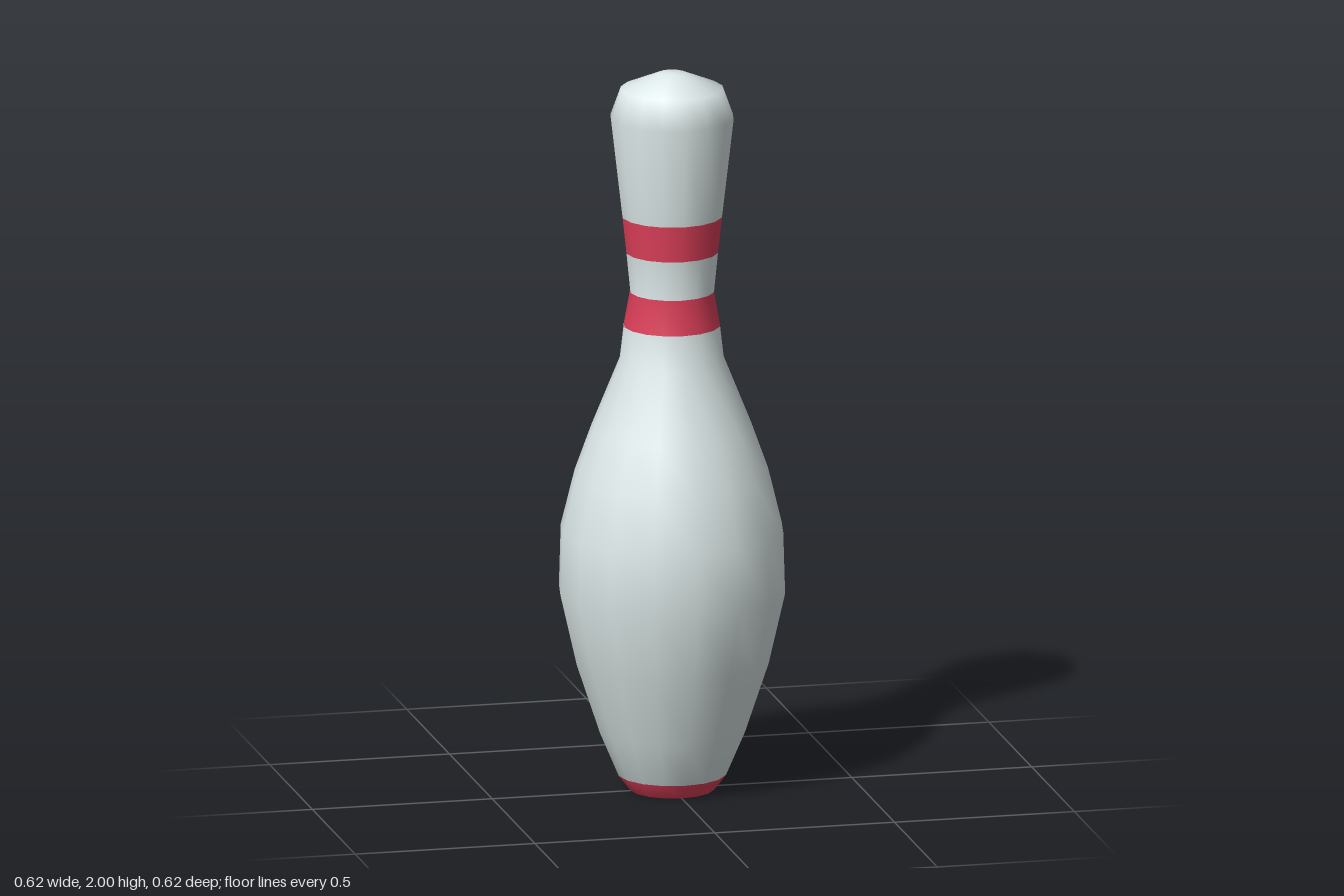
import * as THREE from 'three';

const SIDES = 16;

// Outline from base to crown: [radius, height]
const PROFILE = [
  [0.115, 0], [0.148, 0.043], [0.2, 0.165], [0.265, 0.36], [0.31, 0.556],
  [0.305, 0.726], [0.267, 0.88], [0.22, 1.01], [0.143, 1.2], [0.132, 1.295],
  [0.115, 1.39], [0.126, 1.5], [0.137, 1.6], [0.169, 1.875], [0.14, 1.955],
  [0.037, 1.998], [0, 2],
];

export function createModel() {
  const white = new THREE.MeshStandardMaterial({ color: 0xdde8e8 });
  white.name = 'white';
  const red = new THREE.MeshStandardMaterial({ color: 0xe0405a });
  red.name = 'red';

  const pin = new THREE.Group();
  pin.name = 'bowlingPin';

  const lathe = new THREE.LatheGeometry(PROFILE.map(([r, y]) => new THREE.Vector2(r, y)), SIDES);
  const rows = PROFILE.length - 1;

  // A section keeps only some rows of the lathe, so shading flows smoothly between sections
  const addSection = (name, material, from, to) => {
    const index = [];
    for (let side = 0; side < SIDES; side++) {
      for (let row = from; row < to; row++) {
        const start = (side * rows + row) * 6;
        for (let k = 0; k < 6; k++) index.push(lathe.index.getX(start + k));
      }
    }
    const geometry = lathe.clone();
    geometry.setIndex(index);
    const mesh = new THREE.Mesh(geometry, material);
    mesh.name = name;
    pin.add(mesh);
  };

  addSection('baseRing', red, 0, 1);
  addSection('body', white, 1, 9);
  addSection('lowerStripe', red, 9, 10);
  addSection('neck', white, 10, 11);
  addSection('upperStripe', red, 11, 12);
  addSection('head', white, 12, rows);

  // Flat underside
  const underside = new THREE.Mesh(new THREE.CircleGeometry(PROFILE[0][0], SIDES).rotateX(Math.PI / 2), red);
  underside.name = 'underside';
  pin.add(underside);

  return pin;
}
